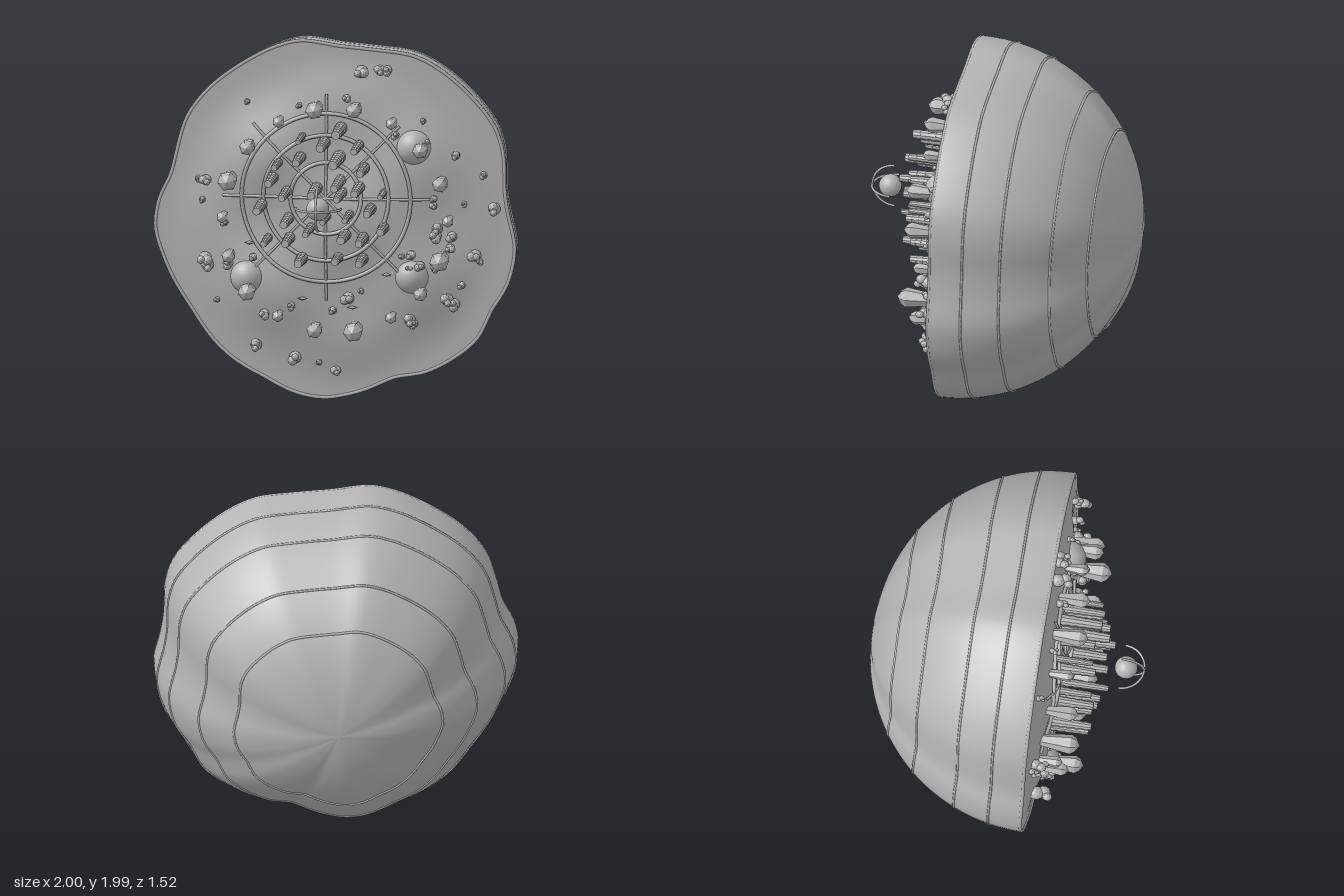
import * as THREE from 'three';

const V = (x, y, z) => new THREE.Vector3(x, y, z);
const RIM_Z = 0.22, DEPTH = 0.975;
const HUB = { x: -0.04, y: 1.135 };

// wavy rim outline, counter-clockwise, relative to the shell centre
const outline = new THREE.CatmullRomCurve3([
  [-0.18, 1], [-0.31, 0.97], [-0.42, 0.92], [-0.58, 0.82], [-0.71, 0.71], [-0.82, 0.56], [-0.87, 0.4],
  [-0.91, 0.24], [-0.97, 0.11], [-0.995, -0.05], [-0.96, -0.19], [-0.89, -0.35], [-0.79, -0.51],
  [-0.68, -0.67], [-0.55, -0.79], [-0.39, -0.88], [-0.23, -0.96], [-0.05, -0.99], [0.17, -0.94],
  [0.33, -0.87], [0.49, -0.84], [0.65, -0.76], [0.79, -0.64], [0.87, -0.48], [0.95, -0.35],
  [0.99, -0.21], [0.995, -0.11], [0.96, 0.05], [0.94, 0.19], [0.935, 0.37], [0.89, 0.53],
  [0.76, 0.7], [0.6, 0.84], [0.44, 0.925], [0.28, 0.95], [0.01, 0.975],
].map(([x, y]) => V(x, y, 0)), true);

// rolling height of the front face
function frontZ(x, y) {
  const r = Math.hypot(x, y - 1);
  const k = THREE.MathUtils.smoothstep(0.93 - r, 0, 0.5);
  return RIM_Z + 0.075 * k + 0.03 * k * Math.sin(6 * x + 1) * Math.cos(7 * (y - 1));
}

// point on the domed shell, t = 0 at the rim and 1 at the back pole
function shellPoint(p, t) {
  const s = Math.sqrt(Math.max(0, 1 - t * t));
  const wave = 1 + (p.length() - 1) * 0.35 * s;
  return V(p.x * s, 1 + p.y * s, RIM_Z - DEPTH * t * wave);
}

// closed radial surface; at(p, v) runs from the middle to the rim
function radialSurface(at, rows, flip) {
  const cols = 144, pos = [], index = [];
  for (let j = 0; j <= rows; j++)
    for (let i = 0; i < cols; i++) pos.push(...at(outline.getPoint(i / cols), j / rows).toArray());
  for (let j = 0; j < rows; j++)
    for (let i = 0; i < cols; i++) {
      const n = (i + 1) % cols;
      const a = j * cols + i, b = j * cols + n, c = a + cols, d = b + cols;
      if (flip) index.push(a, b, c, b, d, c);
      else index.push(a, c, b, b, c, d);
    }
  const g = new THREE.BufferGeometry();
  g.setAttribute('position', new THREE.Float32BufferAttribute(pos, 3));
  g.setIndex(index);
  g.computeVertexNormals();
  return g;
}

export function createModel() {
  const model = new THREE.Group();
  const stone = new THREE.MeshStandardMaterial({ color: 0xb3b3b3 });
  stone.name = 'grey stone';
  const facetedStone = stone.clone();
  facetedStone.flatShading = true;
  facetedStone.name = 'faceted grey stone';

  const add = (name, geo, x = 0, y = 0, z = 0, mat = stone, parent = model) => {
    const m = new THREE.Mesh(geo, mat);
    m.name = name;
    m.position.set(x, y, z);
    parent.add(m);
    return m;
  };
  const group = (name) => {
    const g = new THREE.Group();
    g.name = name;
    model.add(g);
    return g;
  };
  const loopTube = (points, r) =>
    new THREE.TubeGeometry(new THREE.CatmullRomCurve3(points, true), 180, r, 6, true);
  const rimPoints = Array.from({ length: 72 }, (_, i) => outline.getPoint(i / 72));

  // shell, front face, rim and growth bands
  add('shell', radialSurface((p, v) => shellPoint(p, Math.cos(v * Math.PI / 2)), 40, true));
  add('frontFace', radialSurface((p, v) => {
    const x = p.x * v, y = 1 + p.y * v;
    return V(x, y, v === 1 ? RIM_Z : frontZ(x, y));
  }, 40, false));
  add('rim', loopTube(rimPoints.map(p => V(p.x * 0.993, 1 + p.y * 0.993, RIM_Z)), 0.01));
  for (const t of [0.185, 0.39, 0.646, 0.82])
    add('shellBand', loopTube(rimPoints.map(p => shellPoint(p, t)), 0.007));

  // wheel of rings and spokes lying on the front face
  const wheel = group('wheel');
  for (const r of [0.465, 0.345, 0.195]) {
    const pts = Array.from({ length: 48 }, (_, i) => {
      const a = i / 48 * Math.PI * 2;
      const x = HUB.x + r * Math.cos(a), y = HUB.y + r * Math.sin(a);
      return V(x, y, frontZ(x, y) + 0.012);
    });
    add('wheelRing', loopTube(pts, 0.011), 0, 0, 0, stone, wheel);
  }
  for (let k = 0; k < 8; k++) {
    const a = k * Math.PI / 4;
    const pts = Array.from({ length: 9 }, (_, i) => {
      const r = 0.57 * i / 8;
      const x = HUB.x + r * Math.cos(a), y = HUB.y + r * Math.sin(a);
      return V(x, y, frontZ(x, y) + 0.01);
    });
    add('spoke', new THREE.TubeGeometry(new THREE.CatmullRomCurve3(pts), 16, 0.008, 6), 0, 0, 0, stone, wheel);
  }

  // floating ball with two crossed half hoops
  add('ball', new THREE.SphereGeometry(0.063, 24, 16), HUB.x, HUB.y, 0.655);
  const hoop = new THREE.TorusGeometry(0.125, 0.007, 6, 32, Math.PI).rotateX(Math.PI / 2);
  add('hoopAcross', hoop, HUB.x, HUB.y, 0.63);
  add('hoopUpright', hoop.clone().rotateZ(Math.PI / 2), HUB.x, HUB.y, 0.63);

  // stepped columns: [x, y, radius]
  const columns = group('columns');
  [[.04, 1.52, .034], [-.17, 1.475, .02], [-.05, 1.44, .032], [.14, 1.43, .026], [-.18, 1.36, .03],
    [.03, 1.36, .036], [-.3, 1.33, .024], [.17, 1.305, .03], [-.33, 1.245, .03], [-.09, 1.19, .032],
    [.04, 1.235, .03], [.145, 1.2, .03], [.28, 1.175, .02], [-.255, 1.17, .028], [.05, 1.17, .028],
    [-.395, 1.09, .03], [-.245, 1.02, .03], [-.03, 1.04, .022], [.095, 1.055, .022], [.21, 1.085, .03],
    [-.12, .975, .024], [.07, .94, .032], [.28, .98, .03], [-.36, .905, .024], [-.24, .91, .03],
    [.17, .925, .03], [-.17, .8, .032], [.03, .81, .028], [.165, .805, .03],
  ].forEach(([x, y, r], i) => {
    const base = frontZ(x, y) - 0.02;
    const tip = 0.62 - 0.28 * Math.hypot(x - HUB.x, y - HUB.y) - 0.05 * ((i * 7) % 5) / 4;
    const len = tip - base, steps = 6, profile = [];
    for (let s = 0; s < steps; s++) {
      const w = r * (1.1 - 0.3 * s / steps);
      profile.push(new THREE.Vector2(w, len * s / steps), new THREE.Vector2(w * 0.82, len * (s + 1) / steps));
    }
    profile.push(new THREE.Vector2(0, len));
    add('column', new THREE.LatheGeometry(profile, 10).rotateX(Math.PI / 2), x, y, base, facetedStone, columns);
  });

  // circle of crystals that widen before their points
  const crystals = group('crystals');
  [6, 8, 8, 6, 8, 9, 6, 8, 10, 6, 7, 9, 6, 8, 10, 6, 7, 10].forEach((size, k) => {
    const a = k * Math.PI / 9, r = size / 180;
    const x = 0.016 + 0.62 * Math.cos(a), y = 1.027 + 0.62 * Math.sin(a);
    const base = frontZ(x, y) - 0.02, len = 0.03 + r * 3.6;
    const profile = [[0.55 * r, 0], [r, len * 0.78], [r * 0.7, len * 0.9], [0, len]]
      .map(p => new THREE.Vector2(...p));
    const c = add('crystal', new THREE.LatheGeometry(profile, 6).rotateX(Math.PI / 2), x, y, base, facetedStone, crystals);
    c.rotation.z = a;
  });

  // three half-sunken domes
  for (const [x, y] of [[0.44, 1.42], [-0.475, 0.685], [0.43, 0.705]])
    add('dome', new THREE.SphereGeometry(0.095, 24, 16), x, y, 0.26);

  // clusters of pebbles: [x, y, radius]
  const pebbles = group('pebbles');
  const pebble = new THREE.IcosahedronGeometry(1, 1);
  [[.15, 1.83, .036], [.25, 1.84, .028], [.29, 1.84, .026], [-.48, 1.65, .016], [-.19, 1.64, .016],
    [.07, 1.685, .022], [.49, 1.565, .016], [.34, 1.49, .022], [.51, 1.455, .018], [-.705, 1.215, .03],
    [-.75, 1.22, .018], [-.725, 1.105, .018], [-.6, .985, .02], [-.71, .78, .038], [-.695, .745, .034],
    [-.58, .76, .028], [-.44, .8, .022], [-.645, .55, .016], [-.38, .485, .028], [-.43, .305, .032],
    [-.215, .24, .034], [-.085, .215, .016], [.01, .17, .026], [-.23, .535, .022], [-.005, .51, .022],
    [.08, .58, .034], [.15, .62, .016], [.42, .465, .032], [.44, .445, .024], [.43, .83, .026],
    [.38, .82, .016], [.56, .935, .034], [.57, .975, .03], [.65, .93, .028], [.64, .865, .026],
    [.625, .58, .034], [.66, .555, .032], [.7, .66, .022], [.775, .825, .034], [.8, .79, .018],
    [.88, 1.085, .034], [.82, 1.27, .02], [.55, 1.14, .02], [.55, 1.1, .02], [.715, 1.11, .016],
    [.67, 1.38, .024], [.48, .77, .026], [.42, .76, .02], [.56, .76, .026],
  ].forEach(([x, y, r], i) => {
    const z = frontZ(x, y), a = i * 2.4;
    [[0, 0.5, 1], [0.45, 1.6, 0.8], [-0.4, 2.2, 0.6]].forEach(([off, up, s]) => {
      const m = add('pebble', pebble, x + off * r * Math.cos(a), y + off * r * Math.sin(a), z + up * r, facetedStone, pebbles);
      m.scale.set(r * s, r * s, r * s * 1.2);
      m.rotation.z = a;
    });
  });

  // tiny flat buds
  for (const [x, y] of [[-0.165, 0.58], [0.295, 0.72], [0.105, 0.53], [-0.46, 0.88]]) {
    const bud = add('bud', new THREE.OctahedronGeometry(0.03), x, y, frontZ(x, y) + 0.03, facetedStone);
    bud.scale.set(1, 0.35, 0.6);
  }
  return model;
}
